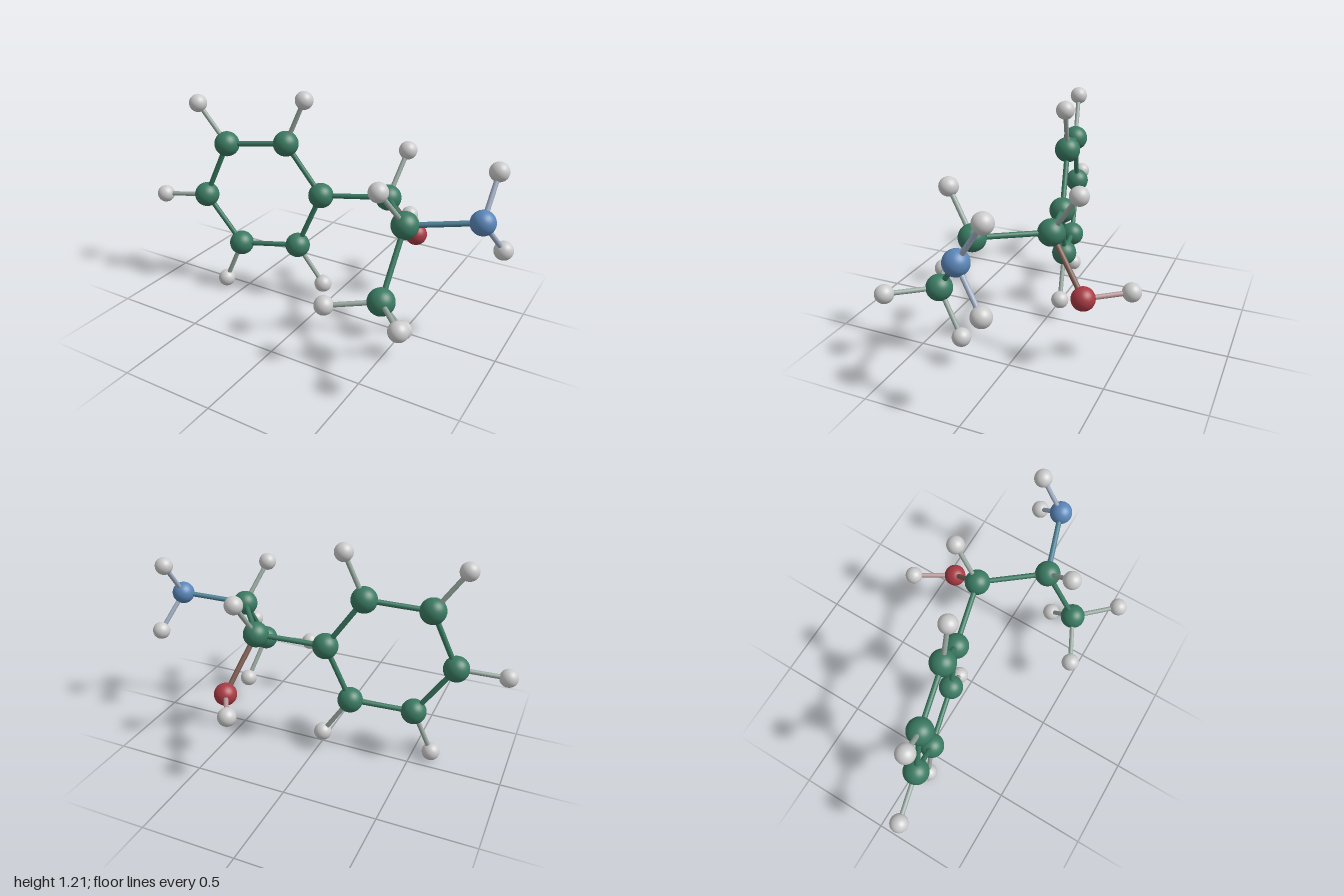
import * as THREE from 'three';

// Element kinds: sphere radius and colour
const KINDS = {
  carbon: { r: 0.068, color: 0x3a7a62 },
  nitrogen: { r: 0.061, color: 0x5a86b8 },
  oxygen: { r: 0.06, color: 0xa83a44 },
  hydrogen: { r: 0.048, color: 0xcccccc },
};

// Heavy atoms: kind, centre, and the centres of the hydrogens they carry
const ATOMS = {
  ring1: ['carbon', [-0.045, 0.645, -0.067], []],
  ring2: ['carbon', [-0.233, 0.918, -0.02], [[-0.131, 1.16, -0.045]]],
  ring3: ['carbon', [-0.564, 0.884, 0.059], [[-0.714, 1.099, 0.098]]],
  ring4: ['carbon', [-0.698, 0.572, 0.095], [[-0.953, 0.545, 0.156]]],
  ring5: ['carbon', [-0.504, 0.296, 0.049], [[-0.607, 0.05, 0.076]]],
  ring6: ['carbon', [-0.174, 0.331, -0.03], [[-0.029, 0.111, -0.063]]],
  inner: ['carbon', [0.313, 0.68, -0.152], [[0.345, 0.9, -0.303]]],
  outer: ['carbon', [0.543, 0.697, 0.149], [[0.473, 0.904, 0.303]]],
  methyl: ['carbon', [0.532, 0.385, 0.355],
    [[0.711, 0.397, 0.553], [0.586, 0.165, 0.212], [0.291, 0.353, 0.473]]],
  amine: ['nitrogen', [0.88, 0.746, 0.04], [[0.891, 0.952, -0.099], [0.95, 0.558, -0.107]]],
  hydroxyl: ['oxygen', [0.398, 0.406, -0.351], [[0.27, 0.419, -0.552]]],
};

// Bonds between heavy atoms
const BONDS = [
  ['ring1', 'ring2'], ['ring2', 'ring3'], ['ring3', 'ring4'],
  ['ring4', 'ring5'], ['ring5', 'ring6'], ['ring6', 'ring1'],
  ['ring1', 'inner'], ['inner', 'outer'], ['outer', 'methyl'],
  ['outer', 'amine'], ['inner', 'hydroxyl'],
];

const UP = new THREE.Vector3(0, 1, 0);

export function createModel() {
  const model = new THREE.Group();
  model.name = 'molecule';

  const materials = new Map();
  const paint = (color) => {
    const key = color.getHex();
    if (!materials.has(key)) materials.set(key, new THREE.MeshStandardMaterial({ color }));
    return materials.get(key);
  };
  const sphere = new THREE.SphereGeometry(1, 40, 28);
  const rod = new THREE.CylinderGeometry(1, 1, 1, 20);

  // Ball for one atom
  function addAtom(name, kind, centre) {
    const ball = new THREE.Mesh(sphere, paint(new THREE.Color(KINDS[kind].color)));
    ball.name = name;
    ball.position.set(...centre);
    ball.scale.setScalar(KINDS[kind].r);
    model.add(ball);
  }

  // Rod between two atoms, in the blend of their colours
  function addBond(name, kindA, a, kindB, b, radius) {
    const from = new THREE.Vector3(...a);
    const to = new THREE.Vector3(...b);
    const color = new THREE.Color(KINDS[kindA].color).lerp(new THREE.Color(KINDS[kindB].color), 0.5);
    const bond = new THREE.Mesh(rod, paint(color));
    bond.name = name;
    bond.position.copy(from).lerp(to, 0.5);
    bond.scale.set(radius, from.distanceTo(to), radius);
    bond.quaternion.setFromUnitVectors(UP, to.sub(from).normalize());
    model.add(bond);
  }

  // Heavy atoms with their hydrogens
  for (const [name, [kind, centre, hydrogens]] of Object.entries(ATOMS)) {
    addAtom(`${name} ${kind}`, kind, centre);
    hydrogens.forEach((h, i) => {
      addAtom(`${name} hydrogen ${i + 1}`, 'hydrogen', h);
      addBond(`${name} hydrogen bond ${i + 1}`, kind, centre, 'hydrogen', h, 0.0125);
    });
  }

  // Skeleton bonds
  for (const [a, b] of BONDS) {
    addBond(`${a} to ${b} bond`, ATOMS[a][0], ATOMS[a][1], ATOMS[b][0], ATOMS[b][1], 0.014);
  }

  return model;
}
